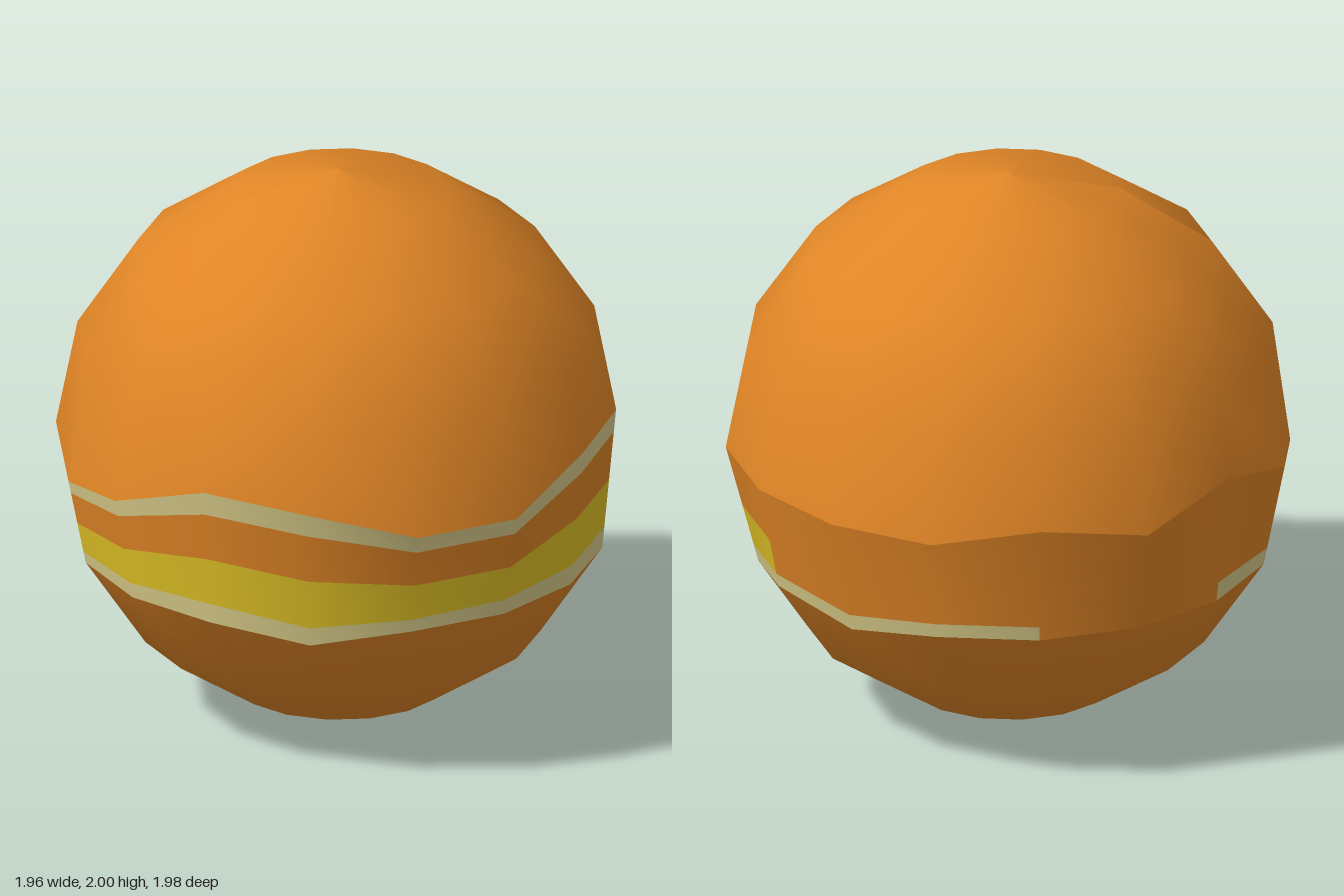
import * as THREE from 'three';

const SIDES = 16;
const RING = Math.PI / 8;

// Radius of the faceted ball (eight straight steps per side) at height y
function radiusAt(y) {
  const a = Math.acos(THREE.MathUtils.clamp(y - 1, -1, 1));
  const n = Math.min(7, Math.floor(a / RING));
  const y0 = 1 + Math.cos(n * RING), y1 = 1 + Math.cos((n + 1) * RING);
  const t = (y0 - y) / (y0 - y1);
  return THREE.MathUtils.lerp(Math.sin(n * RING), Math.sin((n + 1) * RING), t);
}

// Grid of rows (top to bottom) around the y axis with one open seam.
// rows[r](i) gives [radius, height]; paint(r, i) gives the material index.
function loft(rows, paint = () => 0) {
  const pos = [], lists = [[], [], []];
  rows.forEach((row) => {
    for (let i = 0; i <= SIDES; i++) {
      const [r, y] = row(i % SIDES);
      const a = (i - 2) * RING;
      pos.push(r * Math.sin(a), y, r * Math.cos(a));
    }
  });
  const w = SIDES + 1;
  for (let r = 0; r < rows.length - 1; r++) {
    for (let i = 0; i < SIDES; i++) {
      const a = r * w + i, b = a + w;
      const out = lists[paint(r, i)];
      if (rows[r + 1](i)[0] > 1e-6) out.push(a, b, b + 1);
      if (rows[r](i)[0] > 1e-6) out.push(a, b + 1, a + 1);
    }
  }
  const g = new THREE.BufferGeometry();
  g.setAttribute('position', new THREE.Float32BufferAttribute(pos, 3));
  g.setIndex(lists.flat());
  let start = 0;
  lists.forEach((l, m) => {
    if (l.length) g.addGroup(start, l.length, m);
    start += l.length;
  });
  g.computeVertexNormals();
  return g;
}

const ring = (n) => () => [n === 0 || n === 8 ? 0 : Math.sin(n * RING), 1 + Math.cos(n * RING)];

export function createModel() {
  const mat = (name, color) => {
    const m = new THREE.MeshStandardMaterial({ color });
    m.name = name;
    return m;
  };
  const materials = [mat('orange', 0xe08526), mat('cream', 0xd9cc8a), mat('yellow', 0xe0c226)];

  // Wavy heights around the ball, starting at the seam on the front right
  const upper = [0.93, 1, 1.125, 1.09, 1, 1, 1.125, 1.14, 1, 1, 1, 1, 1.06, 1, 1.1, 1];
  const creamLow = [0.885, 0.94, 1.04, 1.005, 0.94, 0.94, 1.045, 1.055, 0.935, 0.94, 0.94, 0.94, 0.98, 0.94, 1.02, 0.94];
  const yellowTop = [0.77, 0.81, 0.865, 0.82, 0.805, 0.805, 0.87, 0.875, 0.775, 0.8, 0.77, 0.8, 0.81, 0.8, 0.85, 0.8];
  const yellowLow = [0.66, 0.675, 0.69, 0.63, 0.665, 0.675, 0.69, 0.695, 0.625, 0.665, 0.62, 0.67, 0.67, 0.68, 0.69, 0.68];
  const lower = upper.map((_, i) => ([3, 8, 10].includes(i) ? 0.56 : 0.617));

  const edge = (ys) => (i) => [radiusAt(ys[i]), ys[i]];
  // Rows inside the band lie on the straight line between its two edges
  const inner = (ys) => (i) => {
    const t = (ys[i] - lower[i]) / (upper[i] - lower[i]);
    return [THREE.MathUtils.lerp(radiusAt(lower[i]), radiusAt(upper[i]), t), ys[i]];
  };

  // Stripes cover only part of the way round
  const paintBand = (r, i) => {
    if (r === 0 && i < 8) return 1;
    if (r === 2 && i < 9) return 2;
    if (r === 3 && (i < 12 || i >= 14)) return 1;
    return 0;
  };

  const model = new THREE.Group();
  model.name = 'stripedBall';
  const add = (name, geometry) => {
    const mesh = new THREE.Mesh(geometry, materials);
    mesh.name = name;
    model.add(mesh);
  };

  add('upperDome', loft([ring(0), ring(1), ring(2), ring(3), edge(upper)]));
  add('stripedBand', loft(
    [edge(upper), inner(creamLow), inner(yellowTop), inner(yellowLow), edge(lower)], paintBand));
  add('lowerBowl', loft([edge(lower), ring(6), ring(7)]));
  add('bottomCap', loft([ring(7), ring(8)]));
  return model;
}
